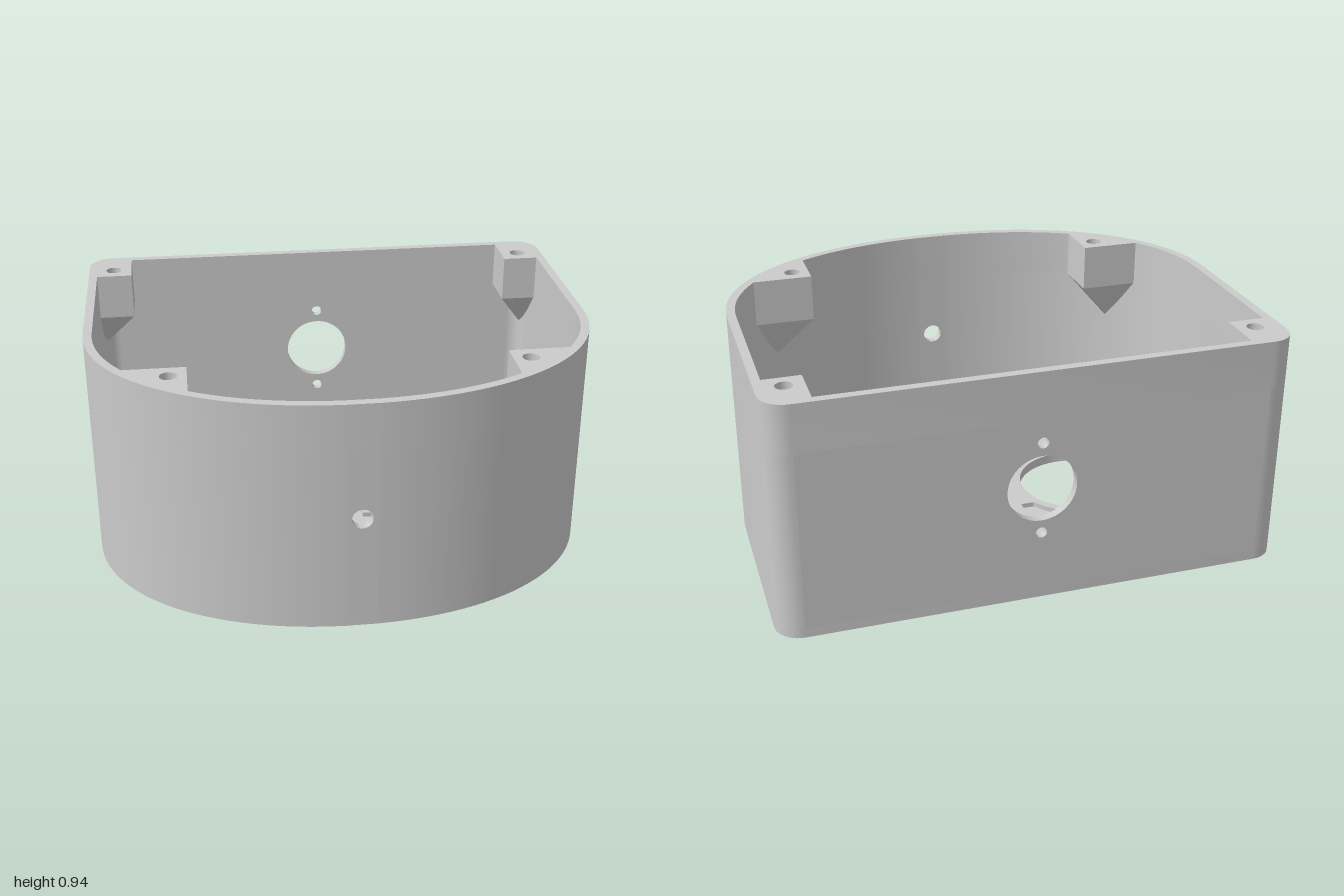
import * as THREE from 'three';
import { toCreasedNormals } from 'three/addons/utils/BufferGeometryUtils.js';
import { ConvexGeometry } from 'three/addons/geometries/ConvexGeometry.js';

const WALL = 0.035, HEIGHT = 0.94, FLOOR = 0.04, RIM = 0.75, POWER = 2.1;
const FLAT = 0.06; // half width of the flat middle of the front
const EYE_X = 0.418, EYE_Z = -0.064;
const grey = new THREE.MeshStandardMaterial({ color: 0xcbcbcb });
grey.name = 'grey plastic';

// Bulging front curve, inset from the outer face
const frontZ = (x, inset) =>
  0.04 + (0.742 - inset) * Math.pow(1 - Math.pow(x / (1 - inset), POWER), 1 / POWER);

function frontCurve(inset) {
  const points = [];
  for (let i = 0; i < 48; i++) {
    const x = (1 - inset) * Math.pow(Math.cos((i / 48) * Math.PI / 2), 2 / POWER);
    if (x > FLAT + 0.005) points.push([x, frontZ(x, inset)]);
  }
  points.push([FLAT, frontZ(FLAT, inset)]);
  return points;
}

// Left half of the plan outline: rounded back corner, flat side, curved front
function halfOutline(inset) {
  const points = [];
  for (let i = 0; i <= 10; i++) {
    const a = (i / 10) * Math.PI / 2, r = 0.1 - inset;
    points.push([0.9 + r * Math.sin(a), -0.682 - r * Math.cos(a)]);
  }
  return points.concat(frontCurve(inset));
}

const flip = points => points.map(([x, z]) => [-x, z]).reverse();
const mirrored = half => half.concat(flip(half));

function circle(cx, cy, r, n = 48) {
  return Array.from({ length: n }, (_, i) => {
    const a = (i / n) * Math.PI * 2;
    return [cx + r * Math.cos(a), cy + r * Math.sin(a)];
  });
}

// Extrusion with a counterclockwise outline and clockwise holes
function extrude(outline, holes, depth) {
  const wind = (pts, clockwise) => {
    const vectors = pts.map(([x, y]) => new THREE.Vector2(x, y));
    return THREE.ShapeUtils.isClockWise(vectors) === clockwise ? vectors : vectors.reverse();
  };
  const shape = new THREE.Shape(wind(outline, false));
  for (const hole of holes) shape.holes.push(new THREE.Path(wind(hole, true)));
  return new THREE.ExtrudeGeometry(shape, { depth, bevelEnabled: false });
}

export function createModel() {
  const model = new THREE.Group();
  model.name = 'enclosure';

  const add = (name, geometry) => {
    const mesh = new THREE.Mesh(geometry, grey);
    mesh.name = name;
    model.add(mesh);
    return mesh;
  };

  // Upright slab from a plan outline in x and z
  const slab = (name, outline, holes, y0, y1) => {
    const toPlan = pts => pts.map(([x, z]) => [x, -z]);
    const geometry = extrude(toPlan(outline), holes.map(toPlan), y1 - y0);
    geometry.rotateX(-Math.PI / 2).translate(0, y0, 0);
    add(name, toCreasedNormals(geometry, 0.5));
  };

  const outer = mirrored(halfOutline(0));
  const sides = [-1, 1];

  // Floor underside: round recesses and a curved groove with two end holes
  const groove = [];
  for (const [r, dir] of [[0.545, 1], [0.5, -1]]) {
    for (let i = 0; i <= 24; i++) {
      const a = dir * (i / 24 - 0.5) * 1.26;
      groove.push([r * Math.sin(a), -0.08 - r * Math.cos(a)]);
    }
  }
  const recesses = sides.map(s => circle(s * EYE_X, EYE_Z, 0.345, 64));
  const endHoles = sides.map(s => circle(s * 0.355, -0.51, 0.032, 24));
  slab('floorUnderside', outer, [...recesses, ...endHoles, groove], 0, 0.02);

  // Floor top with the two large openings
  const openings = sides.map(s => circle(s * EYE_X, EYE_Z, 0.244, 64));
  slab('floor', outer, openings, 0.02, FLOOR);

  // Side walls running round to the curved front
  const wall = halfOutline(0).concat(halfOutline(WALL).reverse());
  slab('leftWall', wall, [], FLOOR, RIM);
  slab('rightWall', flip(wall), [], FLOOR, RIM);

  // Back wall with a large hole and two screw holes
  const panel = w => [[-w, FLOOR], [w, FLOOR], [w, RIM], [-w, RIM]];
  const backHoles = [circle(0, 0.47, 0.135), circle(0, 0.657, 0.022, 20), circle(0, 0.283, 0.022, 20)];
  const back = extrude(panel(0.9), backHoles, WALL).translate(0, 0, -0.782);
  add('backWall', toCreasedNormals(back, 0.5));

  // Middle of the front wall with a small hole
  const frontInner = frontZ(FLAT, WALL);
  const front = extrude(panel(FLAT), [circle(0, 0.47, 0.04, 32)], frontZ(FLAT, 0) - frontInner);
  add('frontWall', toCreasedNormals(front.translate(0, 0, frontInner), 0.5));

  // Rim band with four corner posts and their screw holes
  const inner = frontCurve(WALL);
  const rimHalf = [
    [0.82, -0.747], [0.82, -0.56], [0.965, -0.56],
    ...inner.filter(p => p[1] < 0.395),
    [0.847, 0.4], [0.607, 0.4], [0.607, frontZ(0.607, WALL)],
    ...inner.filter(p => p[0] < 0.602),
  ];
  const screwHoles = sides.flatMap(s => [
    circle(s * 0.895, -0.63, 0.033, 24), circle(s * 0.675, 0.472, 0.033, 24),
  ]);
  slab('rimAndPosts', outer, [mirrored(rimHalf), ...screwHoles], RIM, HEIGHT);

  // Pointed supports tapering from the posts into the walls
  const supports = [
    ['backPostSupport', [[0.82, -0.76], [0.82, -0.56], [0.98, -0.56], [0.98, -0.69], [0.91, -0.76]], [0.955, -0.735]],
    ['frontPostSupport', [[0.607, 0.4], [0.86, 0.4], [0.76, 0.51], [0.607, 0.61]], [0.765, 0.505]],
  ];
  for (const s of sides) {
    for (const [name, ring, tip] of supports) {
      const points = ring.map(([x, z]) => new THREE.Vector3(s * x, RIM, z));
      points.push(new THREE.Vector3(s * tip[0], 0.56, tip[1]));
      add(name, new ConvexGeometry(points));
    }

    // Collars, hollow standoffs and joining blocks on the floor
    slab('collar', circle(s * EYE_X, EYE_Z, 0.275, 64), [circle(s * EYE_X, EYE_Z, 0.244, 64)], FLOOR, 0.06);
    for (const [x, z] of [[0.658, -0.327], [0.18, 0.192]]) {
      slab('standoff', circle(s * x, z, 0.057, 32), [circle(s * x, z, 0.032, 32)], FLOOR, 0.16);
    }
    add('joiningBlock', new THREE.BoxGeometry(0.07, 0.02, 0.27)).position.set(s * 0.14, 0.05, -0.064);
  }

  // Raised strip from the back wall to the middle
  add('floorStrip', new THREE.BoxGeometry(0.22, 0.04, 0.65)).position.set(0, 0.06, -0.423);

  return model;
}
